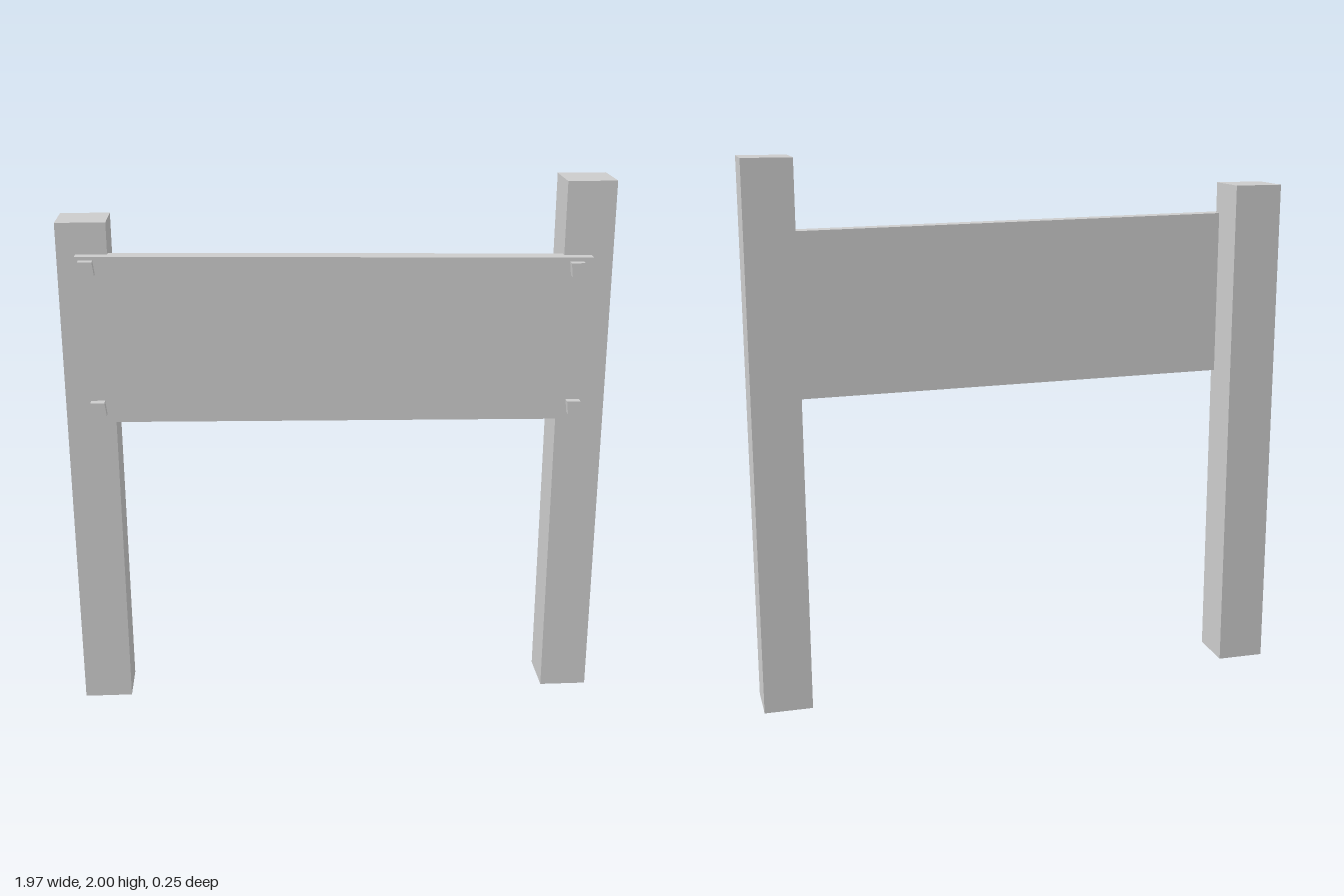
import * as THREE from 'three';

const material = new THREE.MeshStandardMaterial({ color: 0xcccccc, flatShading: true, side: THREE.DoubleSide });

// Square post without a bottom face
function post(name, x, y0, y1) {
  const geometry = new THREE.BoxGeometry(0.177, y1 - y0, 0.181);
  const index = Array.from(geometry.index.array);
  index.splice(18, 6);
  geometry.setIndex(index);
  const mesh = new THREE.Mesh(geometry, material);
  mesh.name = name;
  mesh.position.set(x, (y0 + y1) / 2, -0.0345);
  return mesh;
}

// Four-cornered plate between two depths, corners anticlockwise
function plate(name, corners, z0, z1) {
  const shape = new THREE.Shape(corners.map(([x, y]) => new THREE.Vector2(x, y)));
  const geometry = new THREE.ExtrudeGeometry(shape, { depth: z1 - z0, bevelEnabled: false });
  const mesh = new THREE.Mesh(geometry, material);
  mesh.name = name;
  mesh.position.z = z0;
  return mesh;
}

export function createModel() {
  const model = new THREE.Group();
  model.name = 'signBoard';

  // Posts of unequal height
  model.add(post('rightPost', -0.898, 0.01, 1.874));
  model.add(post('leftPost', 0.898, 0, 2));

  // Slightly crooked board, let into the posts
  model.add(plate('board', [[-0.908, 1.155], [0.923, 1.131], [0.909, 1.735], [-0.921, 1.762]], 0.027, 0.094));

  // Peg heads near the board's corners, leaning with its ends
  const pegs = [
    ['upperRightPeg', -0.88, 1.724],
    ['upperLeftPeg', 0.851, 1.697],
    ['lowerRightPeg', -0.864, 1.211],
    ['lowerLeftPeg', 0.863, 1.183],
  ];
  const h = 0.025, lean = 0.003;
  for (const [name, x, y] of pegs) {
    model.add(plate(name, [
      [x - h + lean, y - h], [x + h + lean, y - h],
      [x + h - lean, y + h], [x - h - lean, y + h],
    ], 0.094, 0.125));
  }
  return model;
}
